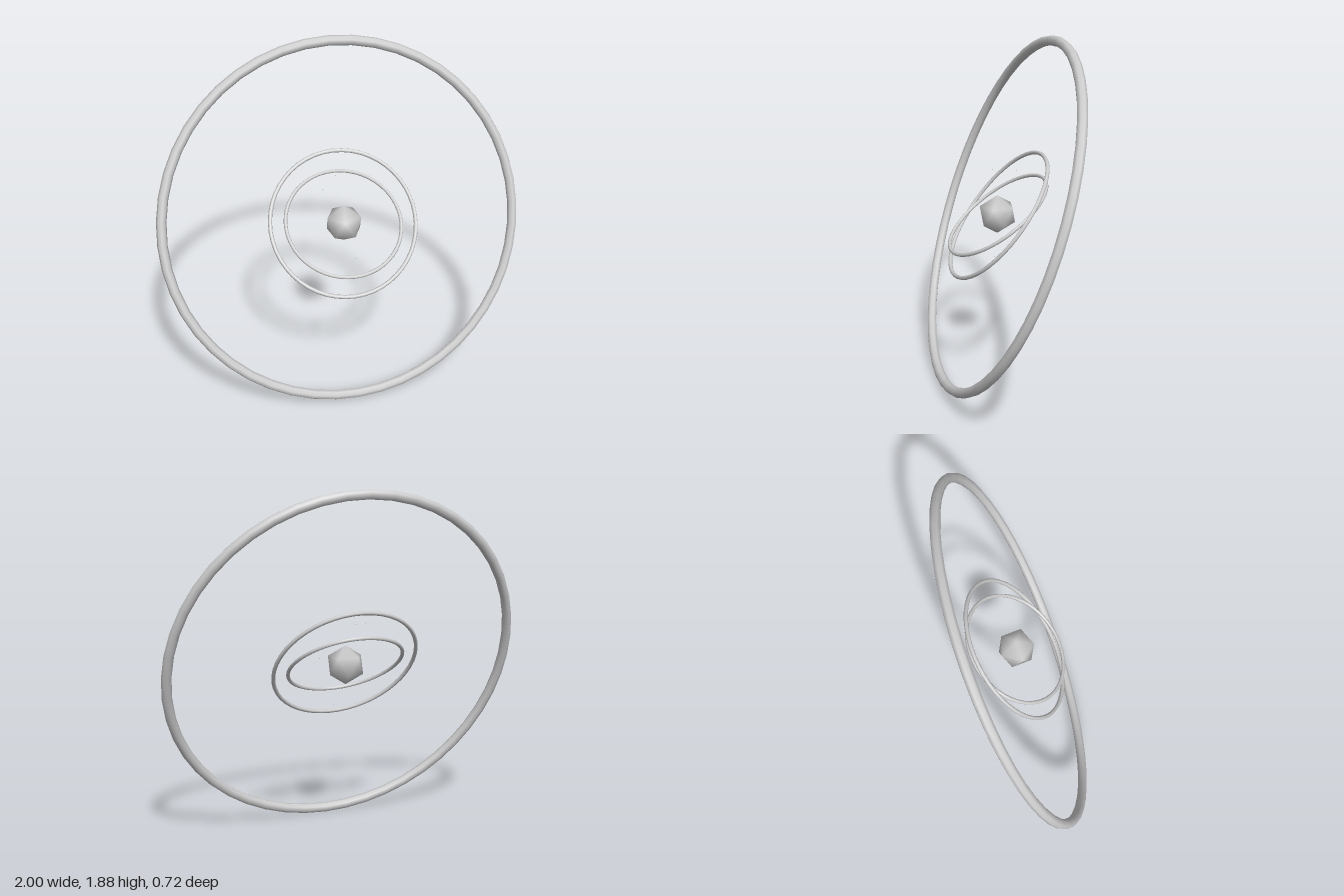
import * as THREE from 'three';
import { mergeVertices } from 'three/addons/utils/BufferGeometryUtils.js';

const CENTER_Y = 0.943;

export function createModel() {
  const model = new THREE.Group();
  const grey = new THREE.MeshStandardMaterial({ color: 0xcccccc });
  grey.name = 'light grey';

  const add = (name, geometry, x = 0, y = 0, z = 0) => {
    const mesh = new THREE.Mesh(geometry, grey);
    mesh.name = name;
    mesh.position.set(x, CENTER_Y + y, z);
    model.add(mesh);
    return mesh;
  };

  // Concentric rings, each leaning further back than the one around it
  const rings = [
    ['outerRing', 0.973, 0.027, 20],
    ['middleRing', 0.402, 0.011, 38.7],
    ['innerRing', 0.317, 0.01, 54.5],
  ];
  for (const [name, radius, tube, tilt] of rings) {
    add(name, new THREE.TorusGeometry(radius, tube, 8, 48)).rotation.x = -THREE.MathUtils.degToRad(tilt);
  }

  // Core: a smooth-shaded icosahedron standing on one of its points
  const ico = new THREE.IcosahedronGeometry(0.107, 0);
  ico.deleteAttribute('normal');
  ico.deleteAttribute('uv');
  const core = mergeVertices(ico, 1e-4);
  const phi = (1 + Math.sqrt(5)) / 2;
  const tip = new THREE.Vector3(0, 1, phi).normalize();
  core.applyQuaternion(new THREE.Quaternion().setFromUnitVectors(tip, new THREE.Vector3(0, 1, 0)));
  core.rotateY(THREE.MathUtils.degToRad(-9));
  core.computeVertexNormals();
  add('core', core);

  // Tiny specks drifting around the core
  const specks = [
    [-0.115, 0.222, 0],
    [-0.02, 0.235, -0.11],
    [0.15, 0.045, 0],
    [0.06, -0.22, 0.03],
  ];
  specks.forEach(([x, y, z], i) => add('speck' + (i + 1), new THREE.OctahedronGeometry(0.003), x, y, z));

  return model;
}
